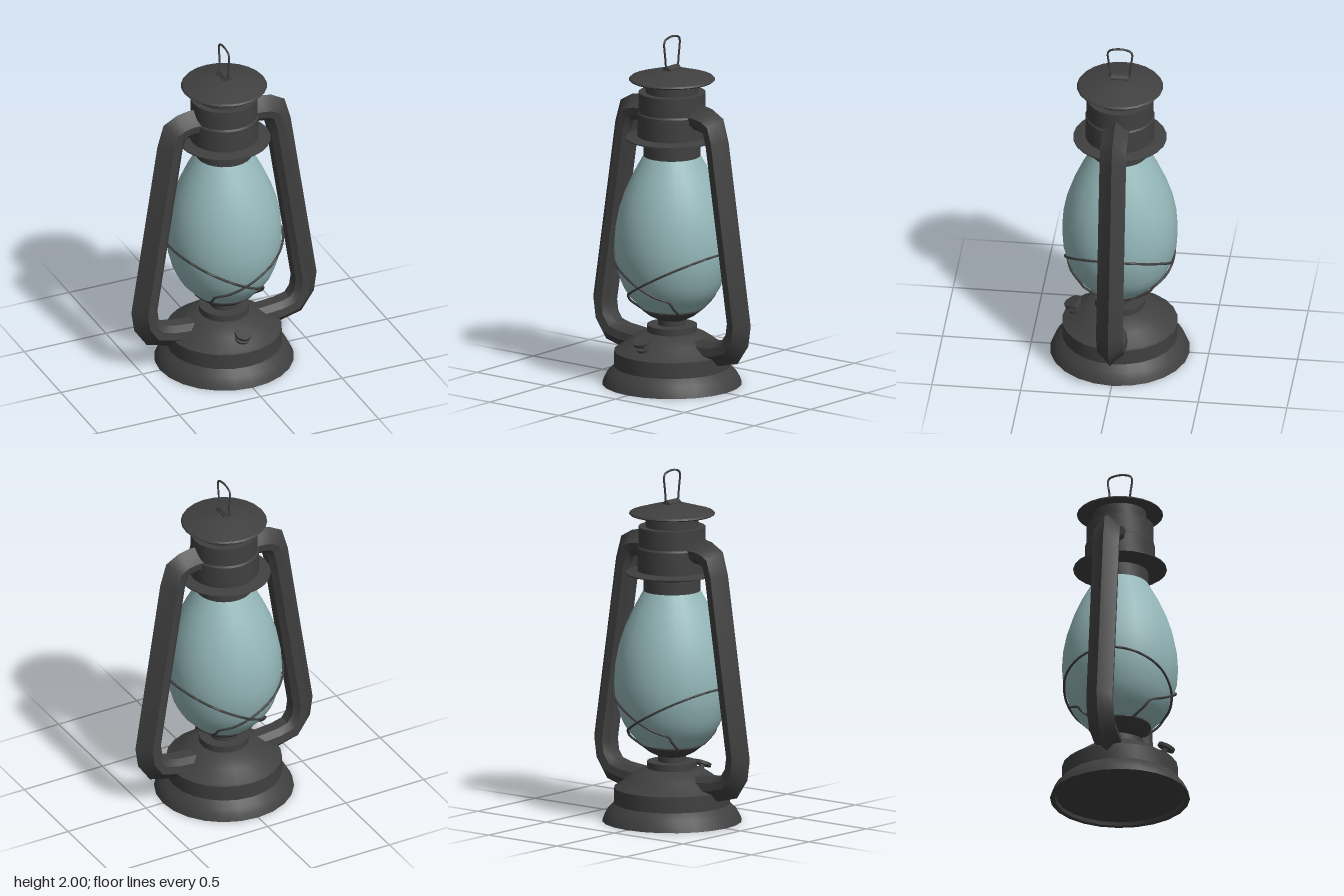
import * as THREE from 'three';
import { toCreasedNormals } from 'three/addons/utils/BufferGeometryUtils.js';

const metal = new THREE.MeshStandardMaterial({ color: 0x404040 });
const glass = new THREE.MeshStandardMaterial({ color: 0x95b8ba });
const SEGMENTS = 24;

function part(name, geometry, material = metal, crease = 0.45) {
  const mesh = new THREE.Mesh(toCreasedNormals(geometry, crease), material);
  mesh.name = name;
  return mesh;
}

// Turned part; profile is [radius, y] from bottom to top
function turned(name, profile, material) {
  const points = profile.map(([r, y]) => new THREE.Vector2(r, y));
  return part(name, new THREE.LatheGeometry(points, SEGMENTS), material);
}

function wire(name, points, radius, steps) {
  const curve = new THREE.CatmullRomCurve3(points, false, 'centripetal');
  return part(name, new THREE.TubeGeometry(curve, steps, radius, 6), metal, 1.2);
}

// Sweeps a closed section [outward, z] along an xy path with mitred corners
function sweep(path, section) {
  const positions = [], index = [], n = section.length;
  const pts = path.map(([x, y]) => new THREE.Vector2(x, y));
  pts.forEach((p, i) => {
    const before = p.clone().sub(pts[Math.max(i - 1, 0)]).normalize();
    const after = pts[Math.min(i + 1, pts.length - 1)].clone().sub(p).normalize();
    const t = before.clone().add(after).normalize();
    const miter = 1 / t.dot(i ? before : after);
    for (const [u, w] of section) {
      positions.push(p.x - t.y * u * miter, p.y + t.x * u * miter, w);
    }
    if (i === pts.length - 1) return;
    for (let j = 0; j < n; j++) {
      const a = i * n + j, b = i * n + (j + 1) % n;
      index.push(a, b, a + n, b, b + n, a + n);
    }
  });
  const geometry = new THREE.BufferGeometry();
  geometry.setAttribute('position', new THREE.Float32BufferAttribute(positions, 3));
  geometry.setIndex(index);
  return geometry;
}

const globeProfile = [
  [0.165, 0.43], [0.235, 0.5], [0.268, 0.55], [0.29, 0.6], [0.318, 0.7], [0.325, 0.8],
  [0.318, 0.9], [0.298, 1.0], [0.265, 1.1], [0.22, 1.2], [0.16, 1.31],
];

function globeRadius(y) {
  const i = Math.max(1, globeProfile.findIndex((p) => p[1] >= y));
  const [r0, y0] = globeProfile[i - 1], [r1, y1] = globeProfile[i];
  return r0 + (r1 - r0) * (y - y0) / (y1 - y0);
}

// Guard wire hugging the globe on a slanted plane, high on the side given by s
function guardPoints(s) {
  const half = [];
  for (let i = 0; i <= 10; i++) {
    const a = (i / 10) * 2.05;
    let x = -0.333 * Math.cos(a);
    if (x > 0.15) x = 0.15;
    const y = 0.6 - 0.55 * x;
    const r = globeRadius(y) + 0.008;
    half.push([x, y, Math.sqrt(Math.max(0, r * r - x * x))]);
  }
  half[0][2] = 0;
  half.push([0.152, 0.49, 0.185], [0.135, 0.43, 0.105]);
  const back = half.slice(1).reverse().map(([x, y, z]) => [x, y, -z]);
  return [...back, ...half].map(([x, y, z]) => new THREE.Vector3(-s * x, y, z));
}

export function createModel() {
  const lantern = new THREE.Group();
  lantern.name = 'lantern';

  // Fuel tank with flared foot and recessed underside
  lantern.add(turned('fuelTank', [
    [0, 0.02], [0.36, 0.02], [0.365, 0], [0.392, 0], [0.38, 0.03], [0.36, 0.065], [0.33, 0.095],
    [0.325, 0.1], [0.325, 0.19], [0.31, 0.197], [0.24, 0.25], [0.19, 0.283], [0.14, 0.3],
    [0.14, 0.338], [0.078, 0.338], [0.078, 0.375], [0, 0.375],
  ]));

  // Burner cup under the globe
  lantern.add(turned('burnerCup', [
    [0, 0.365], [0.08, 0.37], [0.13, 0.395], [0.175, 0.43], [0.175, 0.438], [0, 0.438],
  ]));

  lantern.add(turned('glassGlobe', globeProfile, glass));

  // Chimney with lower brim
  lantern.add(turned('chimney', [
    [0, 1.305], [0.16, 1.305], [0.16, 1.385], [0.19, 1.39], [0.262, 1.408], [0.262, 1.414],
    [0.195, 1.425], [0.195, 1.555], [0.188, 1.565], [0.188, 1.675], [0.148, 1.675], [0.148, 1.76], [0, 1.76],
  ]));

  // Conical cap
  lantern.add(turned('cap', [
    [0, 1.755], [0.15, 1.755], [0.236, 1.742], [0.242, 1.748], [0.235, 1.757], [0.1, 1.796], [0, 1.812],
  ]));

  // Side frame arms with a ridged section
  const armPath = [
    [0.12, 1.56], [0.215, 1.56], [0.265, 1.55], [0.31, 1.525], [0.338, 1.43], [0.495, 0.41],
    [0.482, 0.32], [0.43, 0.245], [0.335, 0.22], [0.12, 0.2],
  ];
  const armSection = [
    [0.072, 0], [0.032, 0.037], [0.004, 0.075], [-0.04, 0.068], [-0.07, 0.035],
    [-0.07, -0.035], [-0.04, -0.068], [0.004, -0.075], [0.032, -0.037],
  ];
  for (const side of ['left', 'right']) {
    const arm = part(side + 'Arm', sweep(armPath, armSection), metal, 0.65);
    if (side === 'right') arm.rotation.y = Math.PI;
    lantern.add(arm);
  }

  // Crossed guard wires around the globe
  for (const s of [1, -1]) {
    lantern.add(wire(s > 0 ? 'leftGuardWire' : 'rightGuardWire', guardPoints(s), 0.007, 80));
  }

  // Hinge and lifting loop on the cap
  const hinge = part('loopHinge', new THREE.CylinderGeometry(0.022, 0.022, 0.1, 10));
  hinge.rotation.x = Math.PI / 2;
  hinge.position.y = 1.806;
  const plate = part('hingePlate', new THREE.BoxGeometry(0.055, 0.02, 0.1));
  plate.position.y = 1.802;
  const loop = [[0.052, 1.81], [0.06, 1.88], [0.069, 1.96], [0.062, 1.978], [0.045, 1.987], [0, 1.994]];
  const loopPoints = [...loop, ...loop.slice(0, -1).reverse().map(([z, y]) => [-z, y])]
    .map(([z, y]) => new THREE.Vector3(0, y, z));
  lantern.add(hinge, plate, wire('liftingLoop', loopPoints, 0.006, 48));

  // Filler knob on the front slope of the tank
  const knob = new THREE.Group();
  knob.name = 'fillerKnob';
  for (const [name, radius, height, y] of [
    ['knobBase', 0.042, 0.014, 0.004], ['knobStem', 0.016, 0.06, 0.02], ['knobDisc', 0.05, 0.018, 0.048],
  ]) {
    const piece = part(name, new THREE.CylinderGeometry(radius, radius, height, 16));
    piece.position.y = y;
    knob.add(piece);
  }
  knob.position.set(0, 0.242, 0.245);
  knob.rotation.x = 0.45;
  lantern.add(knob);

  return lantern;
}
